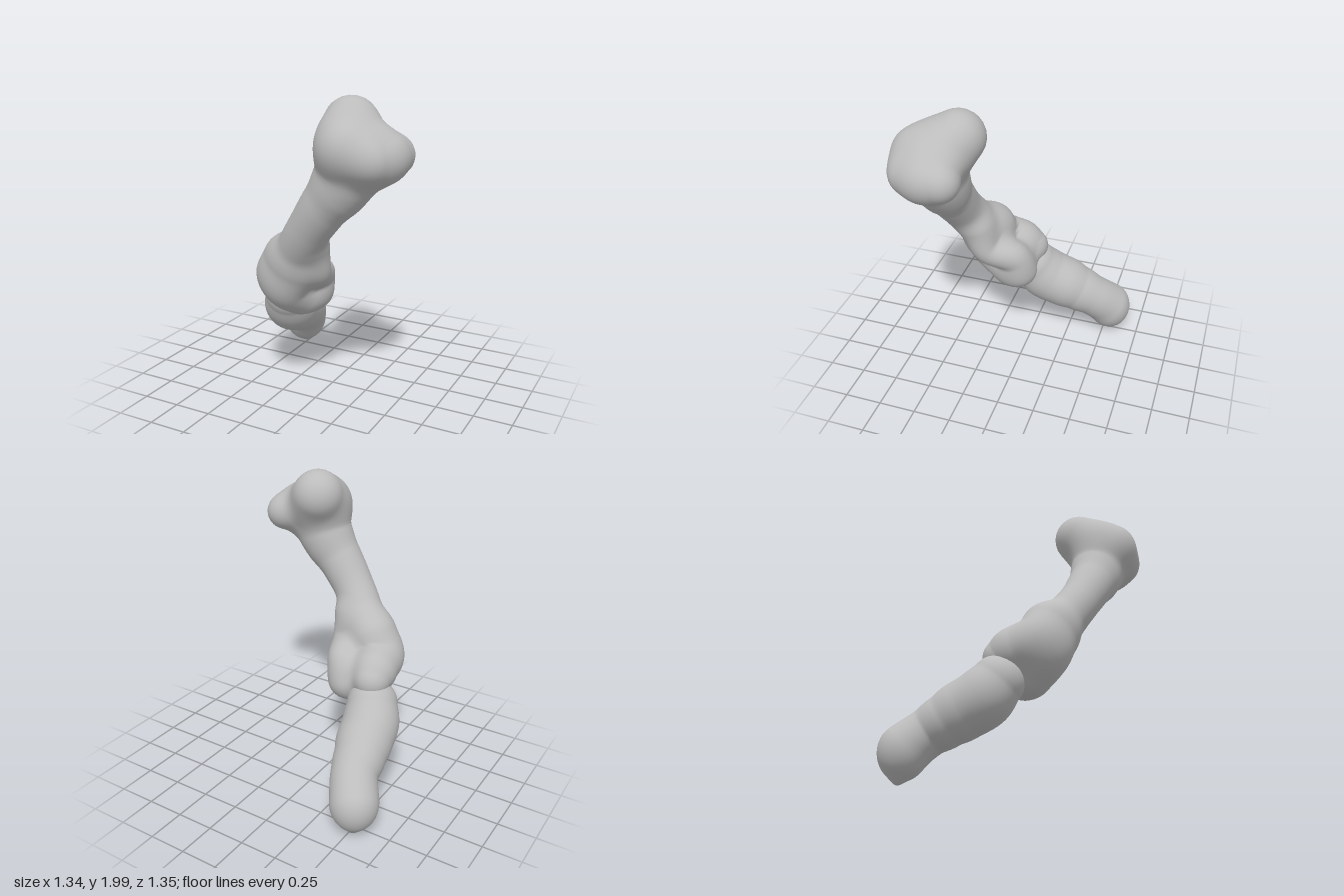
import * as THREE from 'three';

const SIDES = 60, RINGS = 64, CAP = 18;
const bone = new THREE.MeshStandardMaterial({ color: 0xbcbcbc });
bone.name = 'bone grey';
const toCurve = pts => new THREE.CatmullRomCurve3(pts.map(p => new THREE.Vector3(p[0], p[1], p[2])), false, 'centripetal');

// Samples a chain of [x, y, z, radius] into closely spaced spheres
function chainSpheres(chain) {
  const curve = toCurve(chain), n = 12 * (chain.length - 1), out = [];
  for (let i = 0; i <= n; i++) {
    const u = (i / n) * (chain.length - 1), k = Math.min(Math.floor(u), chain.length - 2);
    const f = u - k, s = f * f * (3 - 2 * f);
    const p = curve.getPoint(i / n);
    out.push([p.x, p.y, p.z, chain[k][3] * (1 - s) + chain[k + 1][3] * s]);
  }
  return out;
}

// Distance to all chains, blended softly where they meet
function blendedField(chains, k) {
  const sets = chains.map(chainSpheres);
  return p => {
    let d = 9;
    for (const set of sets) {
      let m = 9;
      for (const [x, y, z, r] of set) m = Math.min(m, Math.hypot(p.x - x, p.y - y, p.z - z) - r);
      const h = Math.max(k - Math.abs(d - m), 0) / k;
      d = Math.min(d, m) - h * h * k / 4;
    }
    return d;
  };
}

// Skins a field with rings around a spine, closed by a rounded cap at each end
function skin(name, spine, field) {
  const curve = toCurve(spine), frames = curve.computeFrenetFrames(RINGS, false);
  const rows = [];
  for (let i = CAP; i > 0; i--) rows.push([0, -i / CAP * Math.PI / 2]);
  for (let i = 0; i <= RINGS; i++) rows.push([i, 0]);
  for (let i = 1; i <= CAP; i++) rows.push([RINGS, i / CAP * Math.PI / 2]);

  const pos = [], nor = [], idx = [], e = 0.015;
  rows.forEach(([ring, tilt], i) => {
    const origin = curve.getPointAt(ring / RINGS);
    for (let j = 0; j <= SIDES; j++) {
      const a = (j / SIDES) * Math.PI * 2;
      const dir = new THREE.Vector3()
        .addScaledVector(frames.normals[ring], Math.cos(a) * Math.cos(tilt))
        .addScaledVector(frames.binormals[ring], Math.sin(a) * Math.cos(tilt))
        .addScaledVector(frames.tangents[ring], Math.sin(tilt));
      const p = origin.clone();
      for (let s = 0; s < 30; s++) {
        const d = field(p);
        p.addScaledVector(dir, -d);
        if (Math.abs(d) < 0.0005) break;
      }
      const slope = (x, y, z) => field(new THREE.Vector3(p.x + x, p.y + y, p.z + z)) - field(new THREE.Vector3(p.x - x, p.y - y, p.z - z));
      const n = new THREE.Vector3(slope(e, 0, 0), slope(0, e, 0), slope(0, 0, e)).normalize();
      pos.push(p.x, p.y, p.z);
      nor.push(n.x, n.y, n.z);
      if (i < rows.length - 1 && j < SIDES) {
        const q = i * (SIDES + 1) + j, r = q + SIDES + 1;
        idx.push(q, q + 1, r, q + 1, r + 1, r);
      }
    }
  });
  const geo = new THREE.BufferGeometry();
  geo.setAttribute('position', new THREE.Float32BufferAttribute(pos, 3));
  geo.setAttribute('normal', new THREE.Float32BufferAttribute(nor, 3));
  geo.setIndex(idx);
  const mesh = new THREE.Mesh(geo, bone);
  mesh.name = name;
  return mesh;
}

export function createModel() {
  const group = new THREE.Group();
  group.name = 'jointedBone';

  // Long bone: shaft, flared head with two lobes and a web, two knuckles at the joint
  const shaft = [[0.325, 1.7, 0.41, 0.195], [0.28, 1.56, 0.405, 0.172], [0.18, 1.4, 0.403, 0.15],
    [0.035, 1.2, 0.375, 0.137], [-0.09, 1.02, 0.31, 0.14]];
  const headTall = [[0.27, 1.835, 0.285, 0.165], [0.295, 1.785, 0.39, 0.165], [0.35, 1.73, 0.495, 0.172]];
  const headSide = [[0.545, 1.68, 0.295, 0.118], [0.53, 1.675, 0.4, 0.133], [0.49, 1.675, 0.5, 0.13]];
  const headWeb = [[0.36, 1.76, 0.35, 0.15], [0.44, 1.72, 0.38, 0.15], [0.5, 1.69, 0.38, 0.13]];
  const headFlare = [[0.48, 1.65, 0.42, 0.115], [0.27, 1.45, 0.405, 0.125]];
  const knuckleOuter = [[-0.18, 0.96, 0.26, 0.16], [-0.25, 0.84, 0.23, 0.165], [-0.29, 0.8, 0.1, 0.15], [-0.31, 0.76, 0.02, 0.12]];
  const knuckleInner = [[0.02, 1.05, 0.28, 0.09], [0.01, 0.89, 0.23, 0.09], [-0.07, 0.81, 0.07, 0.11], [-0.11, 0.69, 0.05, 0.13]];
  const jointPad = [[-0.12, 0.9, 0.285, 0.135], [-0.19, 0.76, 0.265, 0.135], [-0.17, 0.68, 0.14, 0.14]];
  group.add(skin('longBone',
    [[0.39, 1.73, 0.4], [0.3, 1.58, 0.41], [0.19, 1.4, 0.405], [0.04, 1.2, 0.375], [-0.1, 1.0, 0.28], [-0.17, 0.78, 0.16]],
    blendedField([shaft, headTall, headSide, headWeb, headFlare, knuckleOuter, knuckleInner, jointPad], 0.08)));

  // Short bone: swollen base, narrow neck, rounded end tapering to a point
  const body = [[-0.33, 0.6, 0.0, 0.165], [-0.365, 0.5, -0.08, 0.185], [-0.39, 0.44, -0.2, 0.182],
    [-0.415, 0.385, -0.3, 0.165], [-0.44, 0.325, -0.41, 0.148], [-0.51, 0.22, -0.525, 0.153]];
  const point = [[-0.515, 0.15, -0.535, 0.105], [-0.518, 0.1, -0.542, 0.07], [-0.52, 0.045, -0.55, 0.036]];
  group.add(skin('shortBone',
    [[-0.33, 0.57, 0.0], [-0.38, 0.46, -0.15], [-0.41, 0.4, -0.28], [-0.44, 0.32, -0.41], [-0.515, 0.2, -0.525]],
    blendedField([body, point], 0.08)));
  return group;
}
